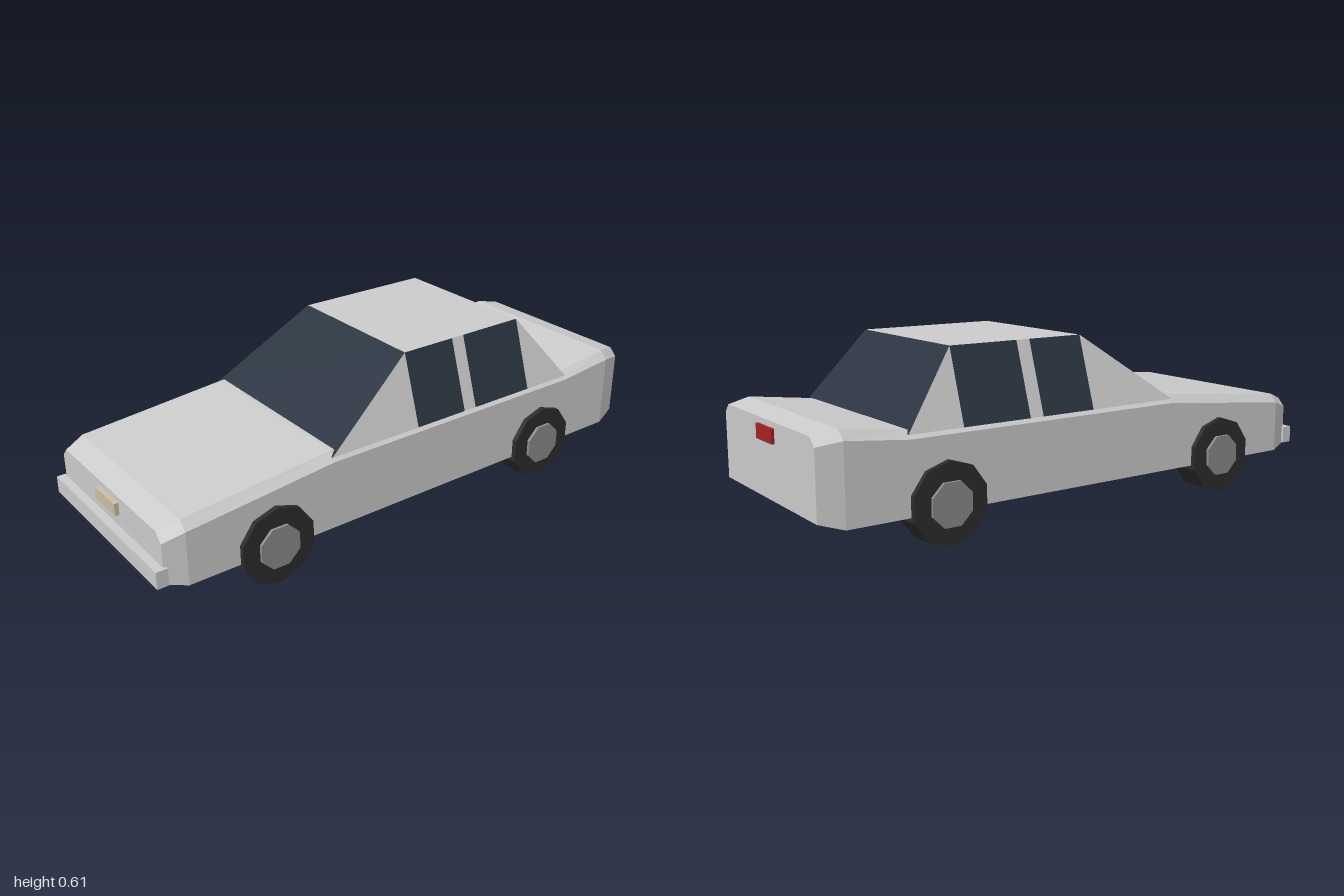
import * as THREE from 'three';

const mat = (color, side = THREE.FrontSide) =>
  new THREE.MeshStandardMaterial({ color, flatShading: true, side });

function add(parent, name, geometry, material, x = 0, y = 0, z = 0) {
  const mesh = new THREE.Mesh(geometry, material);
  mesh.name = name;
  mesh.position.set(x, y, z);
  parent.add(mesh);
  return mesh;
}

// Flat polygons (corner lists, counter-clockwise from outside) as one geometry
function polygons(list) {
  const pos = [];
  for (const p of list)
    for (let i = 1; i < p.length - 1; i++) pos.push(...p[0], ...p[i], ...p[i + 1]);
  const g = new THREE.BufferGeometry();
  g.setAttribute('position', new THREE.Float32BufferAttribute(pos, 3));
  g.computeVertexNormals();
  return g;
}

// Lower body: six-cornered sections lofted from nose to tail
function bodyGeometry() {
  // z, floor y, shoulder y, deck y, half width, deck half width
  const rings = [
    [0.97, 0.13, 0.27, 0.30, 0.345, 0.317],
    [0.90, 0.11, 0.295, 0.326, 0.367, 0.338],
    [0.36, 0.11, 0.35, 0.378, 0.367, 0.338],
    [-0.69, 0.11, 0.35, 0.375, 0.367, 0.338],
    [-0.91, 0.11, 0.373, 0.403, 0.367, 0.338],
    [-0.99, 0.135, 0.36, 0.388, 0.345, 0.317],
  ].map(([z, y0, y1, y2, w, t]) => [
    [w, y0, z], [w, y1, z], [t, y2, z], [-t, y2, z], [-w, y1, z], [-w, y0, z],
  ]);
  const faces = [rings[0], [...rings[rings.length - 1]].reverse()];
  for (let i = 0; i < rings.length - 1; i++)
    for (let j = 0; j < 6; j++) {
      const k = (j + 1) % 6;
      faces.push([rings[i][j], rings[i + 1][j], rings[i + 1][k], rings[i][k]]);
    }
  return polygons(faces);
}

export function createModel() {
  const car = new THREE.Group();
  car.name = 'car';
  const paint = mat(0xcccccc);
  const panel = mat(0xcccccc, THREE.DoubleSide);
  const glass = mat(0x2b3541, THREE.DoubleSide);
  const rubber = mat(0x2c2c2d);
  const metal = mat(0x8c8c90);

  add(car, 'body', bodyGeometry(), paint);
  add(car, 'frontBumper', new THREE.BoxGeometry(0.714, 0.06, 0.04), paint, 0, 0.16, 0.98);
  add(car, 'numberPlate', new THREE.BoxGeometry(0.138, 0.043, 0.025), mat(0xc8bfa4), 0, 0.257, 0.9725);
  add(car, 'tailLight', new THREE.BoxGeometry(0.12, 0.048, 0.02), mat(0xa52222), 0, 0.344, -0.99);

  // Cabin: tapered sides, glazed front and back
  const cabin = new THREE.Group();
  cabin.name = 'cabin';
  car.add(cabin);
  const low = (s, z) => [s * 0.359, 0.363, z];
  const high = (s, z) => [s * 0.279, 0.607, z];
  const zFront = 0.365, zBack = -0.695, roofFront = 0.01, roofBack = -0.5;
  add(cabin, 'roof', polygons([[high(-1, roofFront), high(1, roofFront), high(1, roofBack), high(-1, roofBack)]]), panel);
  add(cabin, 'windscreen', polygons([[low(-1, zFront), low(1, zFront), high(1, roofFront), high(-1, roofFront)]]), glass);
  add(cabin, 'rearWindow', polygons([[low(1, zBack), low(-1, zBack), high(-1, roofBack), high(1, roofBack)]]), glass);
  for (const s of [1, -1]) {
    const side = s > 0 ? 'left' : 'right';
    const face = (p) => polygons([s > 0 ? p : p.reverse()]);
    const strip = (a, b) => face([low(s, a), low(s, b), high(s, b), high(s, a)]);
    add(cabin, side + 'FrontPillar', face([low(s, zFront), low(s, roofFront), high(s, roofFront)]), panel);
    add(cabin, side + 'FrontWindow', strip(roofFront, -0.197), glass);
    add(cabin, side + 'MiddlePillar', strip(-0.197, -0.248), panel);
    add(cabin, side + 'RearWindow', strip(-0.248, roofBack), glass);
    add(cabin, side + 'RearPillar', face([low(s, roofBack), low(s, zBack), high(s, roofBack)]), panel);
  }

  // Wheels: ten-sided tyres with eight-sided hubs
  const tyre = new THREE.CylinderGeometry(0.137, 0.137, 0.102, 10).rotateZ(Math.PI / 2);
  // turn so that a corner points straight down
  tyre.rotateX(Math.PI / 2);
  tyre.rotateX(Math.PI / 2);
  const hub = new THREE.CylinderGeometry(0.077, 0.077, 0.04, 8).rotateY(Math.PI / 8).rotateZ(Math.PI / 2);
  // bring one corner of the tyre onto the vertical axis
  const p = tyre.attributes.position;
  tyre.rotateX(Math.atan2(p.getZ(0), p.getY(0)) * -1);
  for (const s of [1, -1])
    for (const [end, z] of [['Front', 0.59], ['Rear', -0.565]]) {
      const wheel = new THREE.Group();
      wheel.name = (s > 0 ? 'left' : 'right') + end + 'Wheel';
      wheel.position.set(s * 0.334, 0.137, z);
      add(wheel, 'tyre', tyre, rubber);
      add(wheel, 'hub', hub, metal, s * 0.041);
      car.add(wheel);
    }
  return car;
}
